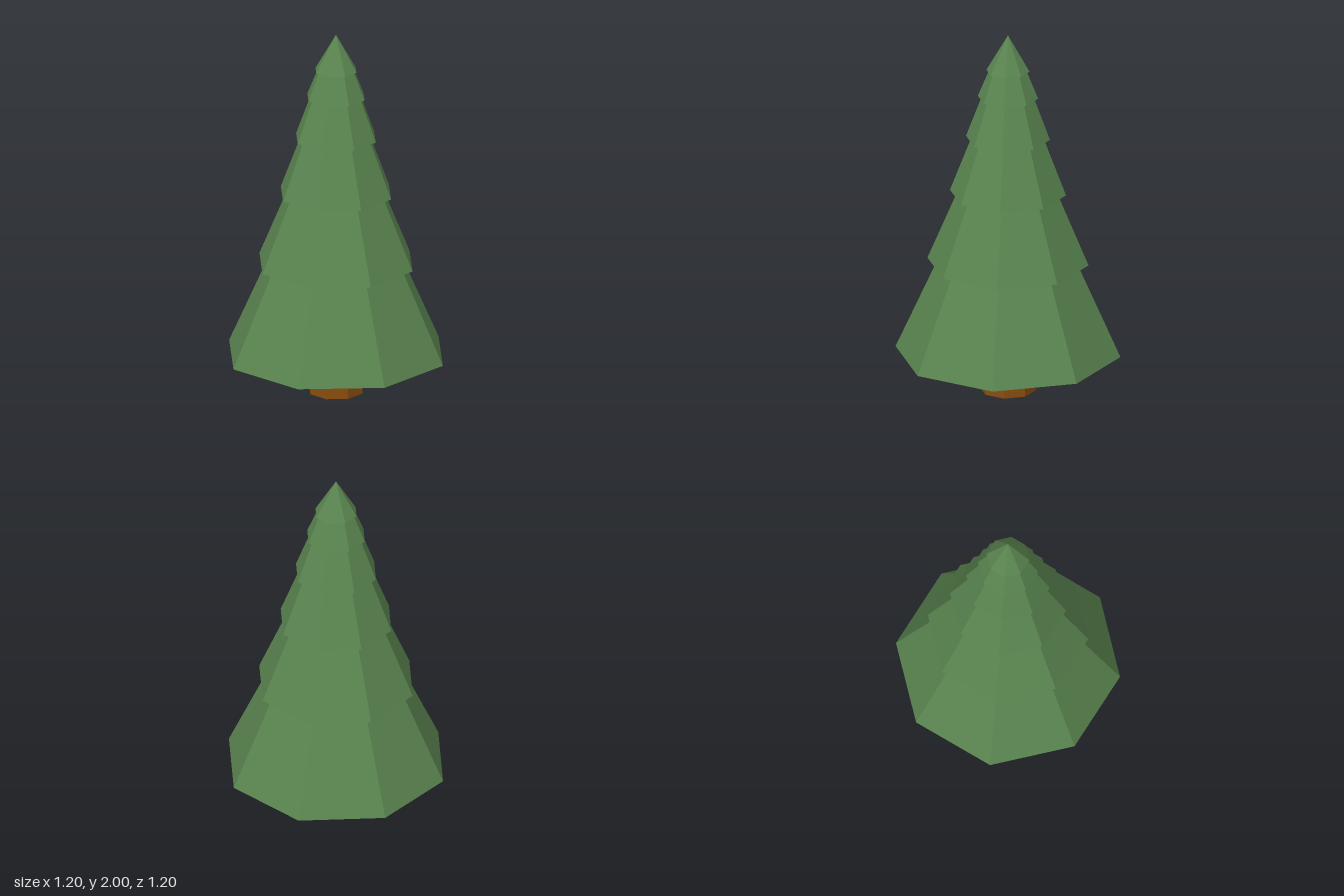
import * as THREE from 'three';

const SIDES = 8;

export function createModel() {
  const tree = new THREE.Group();
  tree.name = 'pineTree';

  const bark = new THREE.MeshStandardMaterial({ color: 0x8a4d0f, flatShading: true });
  const needles = new THREE.MeshStandardMaterial({ color: 0x5a8550, flatShading: true });

  // Trunk, reaching up into the hollow of the lowest tier
  const trunkHeight = 0.34;
  const trunk = new THREE.Mesh(new THREE.CylinderGeometry(0.15, 0.15, trunkHeight, SIDES), bark);
  trunk.name = 'trunk';
  trunk.position.y = trunkHeight / 2;
  tree.add(trunk);

  // Foliage tiers: [rim height, rim radius], each shrinking towards the tip
  const tiers = [[0.21, 0.6], [0.72, 0.43], [1.11, 0.31], [1.42, 0.224], [1.65, 0.161], [1.8, 0.115]];
  tiers.forEach(([y, r], i) => {
    // Shallow hollow underside rising to the centre, then the rim
    const profile = [new THREE.Vector2(0, y + 0.22 * r), new THREE.Vector2(r, y)];
    if (i < tiers.length - 1) {
      // Sloped wall that ends inside the tier above
      const top = y + 1.2 * (tiers[i + 1][0] - y);
      profile.push(new THREE.Vector2(0.544 * r, top), new THREE.Vector2(0, top));
    } else {
      profile.push(new THREE.Vector2(0, 2));
    }
    const tier = new THREE.Mesh(new THREE.LatheGeometry(profile, SIDES), needles);
    tier.name = `foliageTier${i + 1}`;
    tree.add(tier);
  });

  return tree;
}
